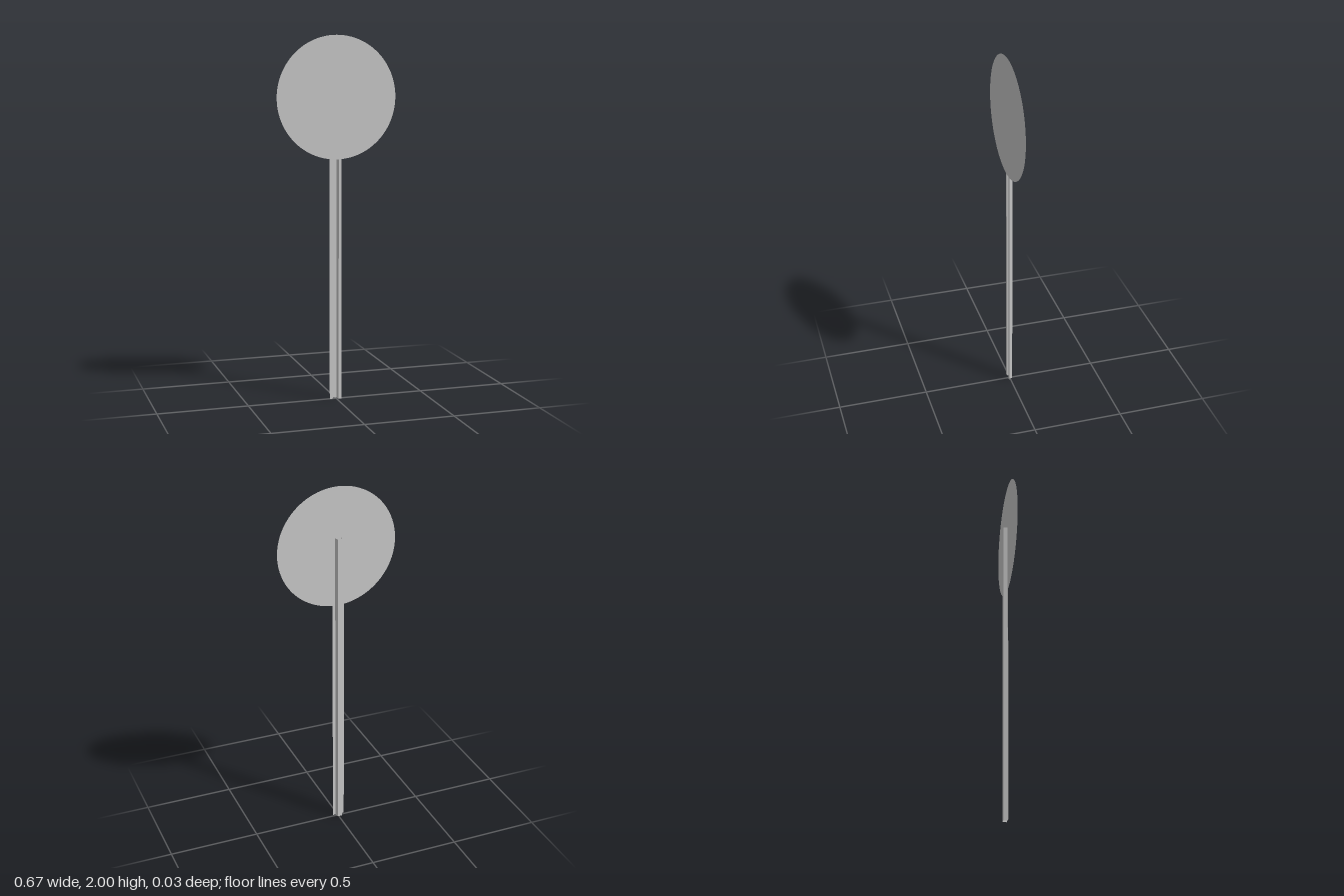
import * as THREE from 'three';

const material = new THREE.MeshStandardMaterial({ color: 0xcccccc, side: THREE.DoubleSide, flatShading: true });

// Thin sheet folded along a profile of [x, z] points and drawn up to a height
function foldedSheet(profile, height) {
  const folded = new THREE.PlaneGeometry(1, height, profile.length - 1, 1);
  folded.translate(0, height / 2, 0);
  const pos = folded.attributes.position;
  for (let i = 0; i < pos.count; i++) {
    const [x, z] = profile[i % profile.length];
    pos.setX(i, x);
    pos.setZ(i, z);
  }
  const flat = folded.toNonIndexed();
  flat.computeVertexNormals();
  return flat;
}

export function createModel() {
  const group = new THREE.Group();

  // Round sign plate, a single thin sheet
  const plate = new THREE.Mesh(new THREE.CircleGeometry(0.333, 96), material);
  plate.name = 'signPlate';
  plate.position.set(0, 1.667, 0.0133);
  group.add(plate);

  // Hat-section post: flanges toward the plate, web at the back
  const half = [[0.034, 0.0097], [0.018, 0.0097], [0.0125, -0.0133]];
  const profile = [...half.map(([x, z]) => [-x, z]), ...half.slice().reverse()];
  const post = new THREE.Mesh(foldedSheet(profile, 1.72), material);
  post.name = 'channelPost';
  post.position.x = -0.006;
  group.add(post);

  return group;
}
